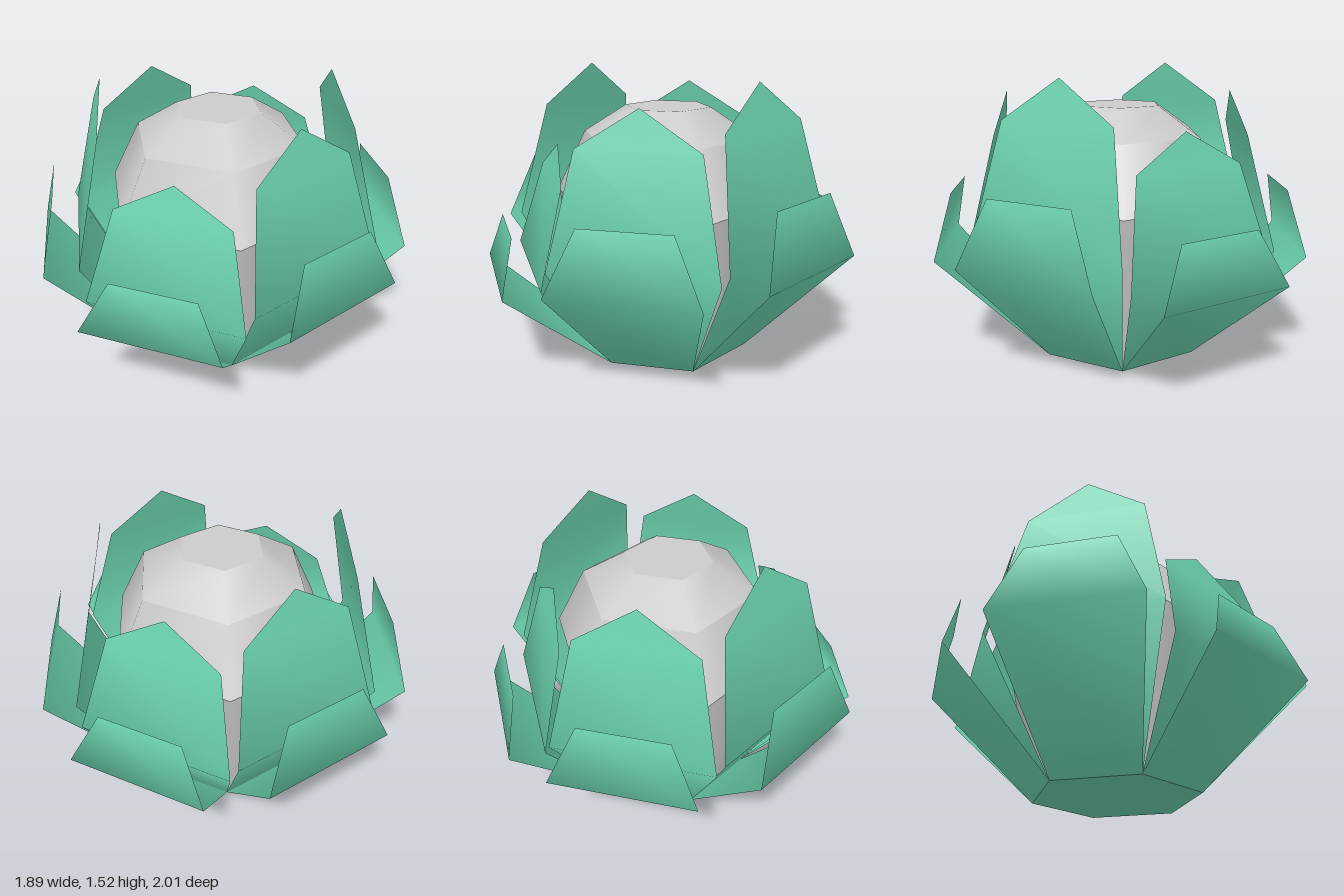
import * as THREE from 'three';

const GREEN = new THREE.MeshStandardMaterial({ color: 0x6cd4b0, side: THREE.DoubleSide });
const GREY = new THREE.MeshStandardMaterial({ color: 0xcccccc });

const BASE_R = 0.445;
const BASE_APOTHEM = BASE_R * Math.cos(Math.PI / 6);

// Leaf cross-sections: [distance from axis, half width, height as a share of the leaf height]
const INNER = [[BASE_APOTHEM, BASE_R / 2, 0], [0.765, 0.42, 0.45], [0.63, 0.306, 0.862], [0.59, 0, 1]];
const OUTER = [[BASE_APOTHEM, BASE_R / 2, 0], [0.945, 0.37, 0.414], [0.87, 0.225, 0.643]];

// Thin bent sheet facing +z, smooth along its height; a zero width ends it in a point
function leafGeometry(rows, height) {
  const pos = [], index = [];
  rows.forEach(([r, w, h], i) => {
    pos.push(-w, h * height, r, w, h * height, r);
    if (i === 0) return;
    const a = 2 * i - 2, b = a + 1, c = a + 2, d = a + 3;
    index.push(a, b, c);
    if (w > 0) index.push(b, d, c);
  });
  const geo = new THREE.BufferGeometry();
  geo.setAttribute('position', new THREE.Float32BufferAttribute(pos, 3));
  geo.setIndex(index);
  geo.computeVertexNormals();
  return geo;
}

function addMesh(parent, name, geometry, material) {
  const mesh = new THREE.Mesh(geometry, material);
  mesh.name = name;
  parent.add(mesh);
  return mesh;
}

export function createModel() {
  const model = new THREE.Group();
  model.name = 'budPlant';

  // Six-sided bulb, stacked from tapered bands: [radius, height]
  const bulb = new THREE.Group();
  bulb.name = 'bulb';
  model.add(bulb);
  const rings = [[BASE_R, 0], [0.63, 0.85], [0.465, 1.18], [0.23, 1.33]];
  for (let i = 1; i < rings.length; i++) {
    const [r0, y0] = rings[i - 1], [r1, y1] = rings[i];
    const band = addMesh(bulb, 'bulbBand', new THREE.CylinderGeometry(r1, r0, y1 - y0, 6, 1, true), GREY);
    band.position.y = (y0 + y1) / 2;
  }
  const cap = addMesh(bulb, 'bulbTop', new THREE.CircleGeometry(0.23, 6, Math.PI / 2), GREY);
  cap.rotation.x = -Math.PI / 2;
  cap.position.y = 1.33;

  // Green underside
  const base = addMesh(model, 'base', new THREE.CircleGeometry(BASE_R, 6, Math.PI / 2), GREEN);
  base.rotation.x = Math.PI / 2;

  // A tall inner and a short outer leaf on each side, of uneven heights
  [1.16, 1.4, 1.5, 1.25, 1.4, 1.52].forEach((height, i) => {
    const pair = new THREE.Group();
    pair.name = 'leafPair';
    pair.rotation.y = Math.PI / 6 + i * Math.PI / 3;
    addMesh(pair, 'innerLeaf', leafGeometry(INNER, height), GREEN);
    addMesh(pair, 'outerLeaf', leafGeometry(OUTER, height), GREEN);
    model.add(pair);
  });

  return model;
}
